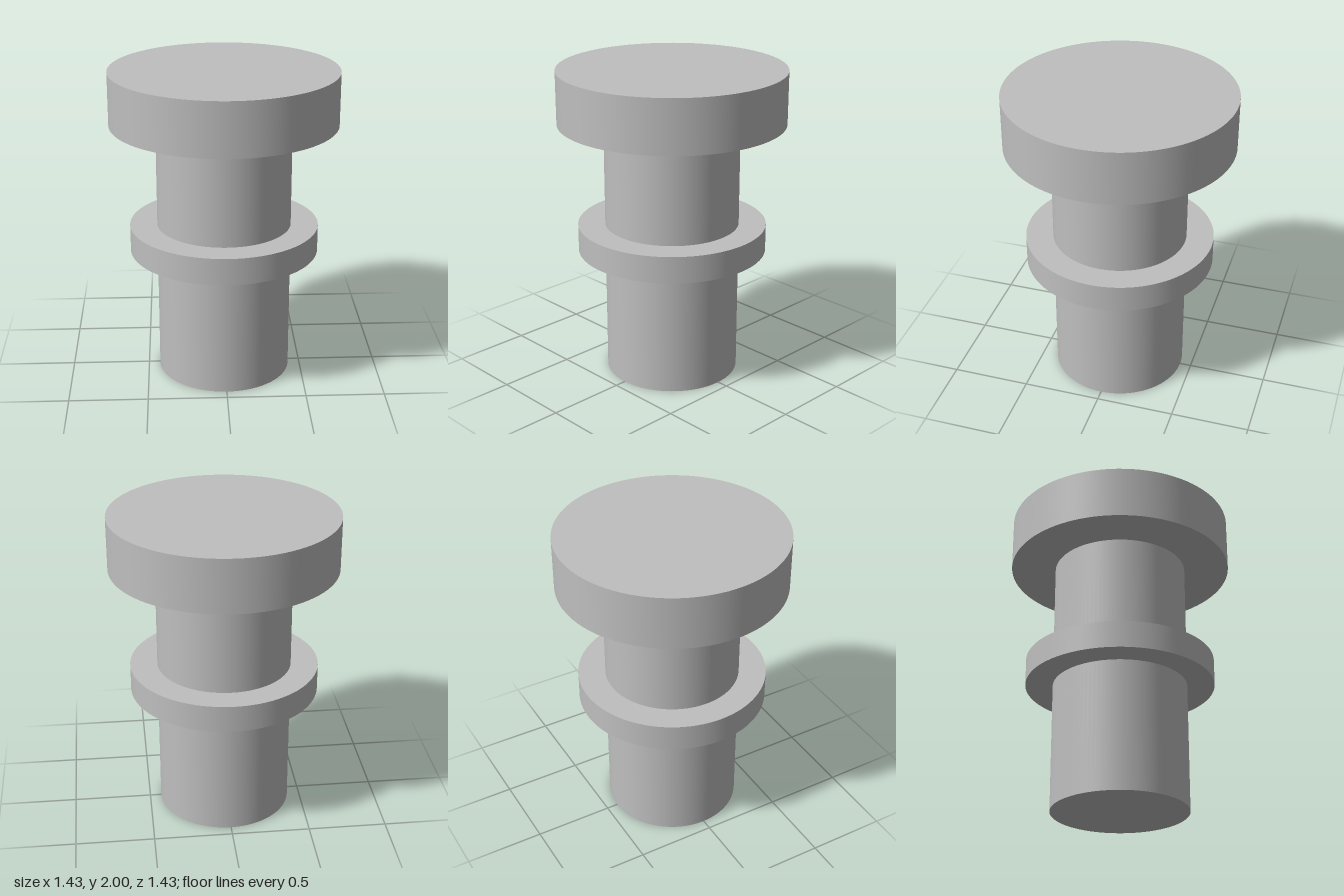
import * as THREE from 'three';

export function createModel() {
  const group = new THREE.Group();
  group.name = 'flangedPin';
  const grey = new THREE.MeshStandardMaterial({ color: 0xbfbfbf });
  grey.name = 'plain grey';

  // Upright disc or rod spanning bottom..top
  const addCylinder = (name, radius, bottom, top) => {
    const geometry = new THREE.CylinderGeometry(radius, radius, top - bottom, 96);
    const mesh = new THREE.Mesh(geometry, grey);
    mesh.name = name;
    mesh.position.y = (bottom + top) / 2;
    group.add(mesh);
  };

  addCylinder('shaft', 0.427, 0, 1.7); // runs through the collar into the head
  addCylinder('collar', 0.6, 0.826, 0.998);
  addCylinder('head', 0.715, 1.662, 2);

  return group;
}
